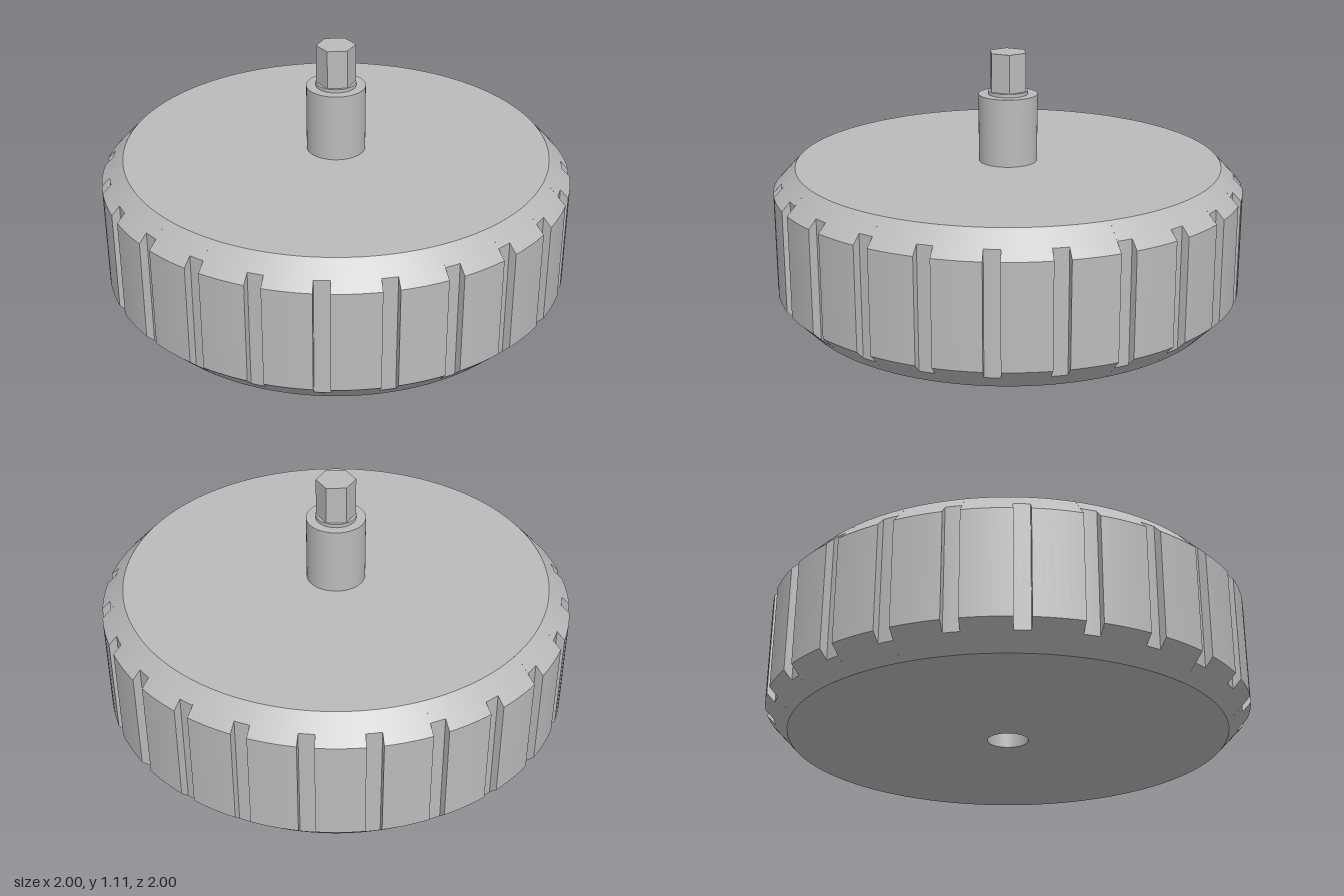
import * as THREE from 'three';
import { mergeGeometries } from 'three/addons/utils/BufferGeometryUtils.js';

const GROOVES = 24;
const PITCH = (Math.PI * 2) / GROOVES;
const GROOVE_HALF = 0.0333; // half angle of one groove

// One surface per profile segment, so profile edges stay crisp and the round stays smooth
function revolve(profile, segments = 96, start = 0, length = Math.PI * 2) {
  const strips = [];
  for (let i = 0; i < profile.length - 1; i++) {
    const pair = [profile[i], profile[i + 1]].map(([r, y]) => new THREE.Vector2(r, y));
    strips.push(new THREE.LatheGeometry(pair, segments, start, length));
  }
  return mergeGeometries(strips);
}

// Upright radial wall at an angle; side 1 faces increasing angle, -1 decreasing
function radialWall(profile, angle, side) {
  const shape = new THREE.Shape(profile.map(([r, y]) => new THREE.Vector2(-side * r, y)));
  return new THREE.ShapeGeometry(shape).rotateY(angle + side * Math.PI / 2);
}

export function createModel() {
  const group = new THREE.Group();
  const grey = new THREE.MeshStandardMaterial({ color: 0xbbbbbb });
  grey.name = 'grey';

  const add = (name, geometry) => {
    const mesh = new THREE.Mesh(geometry, grey);
    mesh.name = name;
    group.add(mesh);
  };

  // Rim profiles: full tread block, and the groove cut between blocks
  const block = [[0.905, 0], [1, 0.1], [1, 0.535], [0.905, 0.635]];
  const groove = [[0.905, 0], [0.965, 0.063], [0.965, 0.572], [0.905, 0.635]];
  const wall = [groove[1], block[1], block[2], groove[2]];

  const blocks = [], grooves = [];
  for (let i = 0; i < GROOVES; i++) {
    const centre = i * PITCH;
    const half = PITCH / 2 - GROOVE_HALF;
    blocks.push(
      revolve(block, 6, centre - half, half * 2),
      radialWall(wall, centre - half, -1),
      radialWall(wall, centre + half, 1),
    );
    grooves.push(revolve(groove, 2, centre + half, GROOVE_HALF * 2));
  }
  add('treadBlocks', mergeGeometries(blocks));
  add('treadGrooves', mergeGeometries(grooves));

  // Flat faces of the wheel, with the blind socket underneath
  add('topFace', revolve([[0.905, 0.635], [0, 0.635]], 192));
  add('bottomFace', revolve([[0.085, 0], [0.905, 0]], 192));
  add('socket', revolve([[0, 0.2], [0.085, 0.2], [0.085, 0]], 192));

  // Axle with a small shoulder
  add('axle', revolve([[0.125, 0.635], [0.125, 0.925], [0, 0.925]]));
  add('shoulder', revolve([[0.085, 0.925], [0.085, 0.94], [0, 0.94]]));

  // Hexagonal peg, corners towards front and back
  const peg = new THREE.CylinderGeometry(0.083, 0.083, 0.165, 6).toNonIndexed();
  peg.computeVertexNormals();
  peg.translate(0, 0.94 + 0.0825, 0);
  add('hexPeg', peg);

  return group;
}
